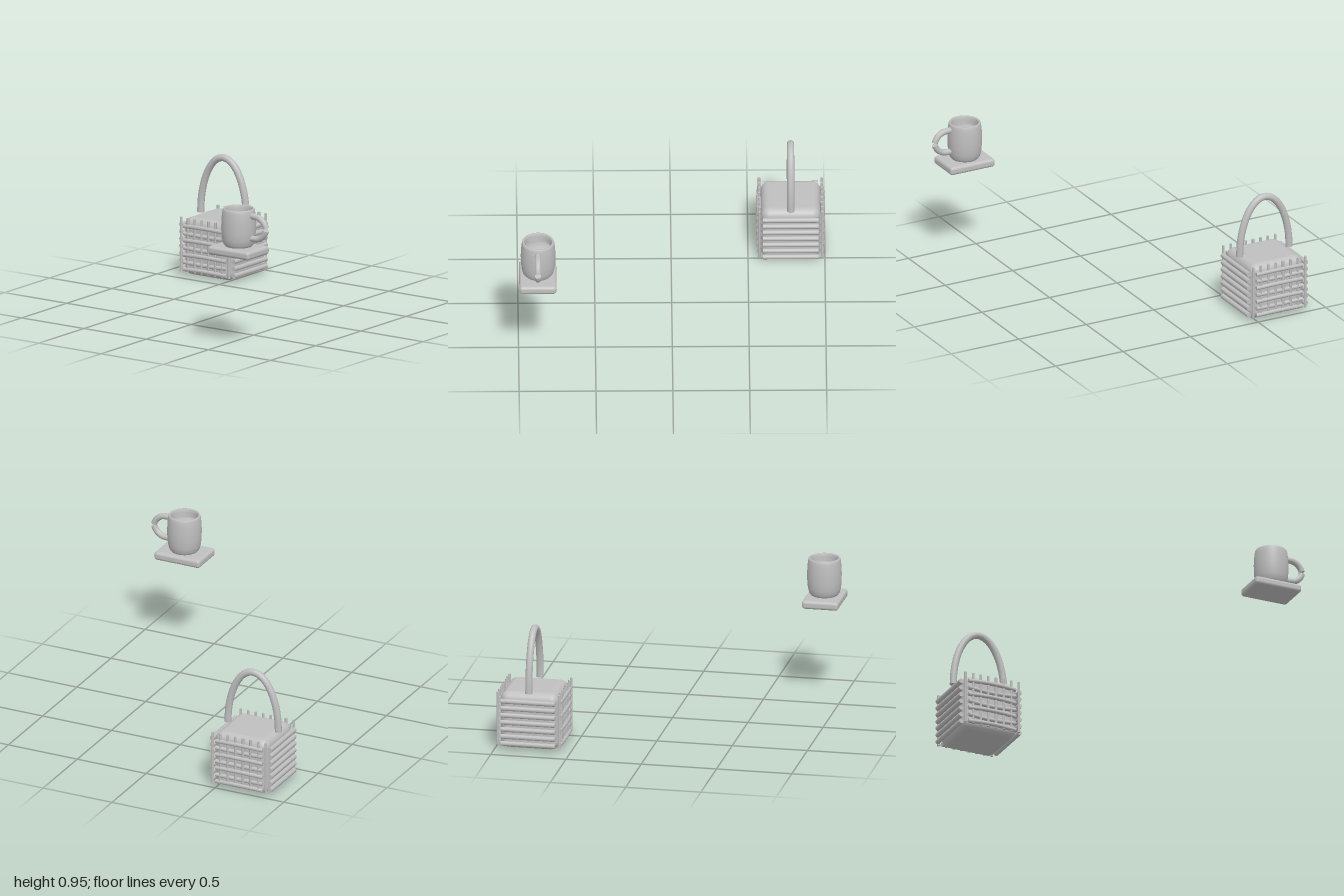
import * as THREE from 'three';
import { RoundedBoxGeometry } from 'three/addons/geometries/RoundedBoxGeometry.js';

const clay = new THREE.MeshStandardMaterial({ color: 0xbfbfbf });
clay.name = 'plain grey';

const V = (x, y, z) => new THREE.Vector3(x, y, z);

function add(parent, name, geometry, x = 0, y = 0, z = 0) {
  const mesh = new THREE.Mesh(geometry, clay);
  mesh.name = name;
  mesh.position.set(x, y, z);
  parent.add(mesh);
  return mesh;
}

// Tube along a curve, closed with a flat disc at each end
function addRod(parent, name, points, radius, segments, sides) {
  const rod = new THREE.Group();
  rod.name = name;
  const curve = new THREE.CatmullRomCurve3(points);
  add(rod, name + 'Tube', new THREE.TubeGeometry(curve, segments, radius, sides));
  for (const end of [0, 1]) {
    const p = curve.getPointAt(end);
    const direction = curve.getTangentAt(end).multiplyScalar(end ? 1 : -1);
    const cap = add(rod, name + 'Cap', new THREE.CircleGeometry(radius, sides), p.x, p.y, p.z);
    cap.quaternion.setFromUnitVectors(V(0, 0, 1), direction);
  }
  parent.add(rod);
}

function createBasket() {
  const basket = new THREE.Group();
  basket.name = 'basket';
  add(basket, 'basketBody', new RoundedBoxGeometry(0.386, 0.384, 0.386, 5, 0.055), 0, 0.193, 0);

  // Arched handle
  const arch = [];
  for (let i = 0; i <= 16; i++) {
    const a = Math.PI * i / 16;
    arch.push(V(-0.183 * Math.cos(a), 0.385 + 0.387 * Math.sin(a), 0));
  }
  addRod(basket, 'basketHandle', arch, 0.0235, 48, 14);

  // Woven panels on the front and back
  for (const side of [-1, 1]) {
    for (let i = 0; i < 8; i++) {
      const x = -0.192 + i * 0.0549;
      add(basket, 'uprightStake', new THREE.CylinderGeometry(0.009, 0.009, 0.36, 8), x, 0.208, side * 0.204);
    }
    for (let row = 0; row < 7; row++) {
      const y = 0.042 + row * 0.048;
      const bow = row % 2 ? -0.007 : 0.007;
      const points = [];
      for (let i = 0; i <= 6; i++) {
        const arc = Math.sin(Math.PI * i / 6);
        points.push(V(-0.17 + i * 0.34 / 6, y + bow * 0.8 * arc, side * (0.203 + bow * arc)));
      }
      addRod(basket, 'wovenStrand', points, 0.014, 18, 8);
    }
  }

  // Stacked strands along the two ends
  for (const side of [-1, 1]) {
    for (let row = 0; row < 7; row++) {
      const y = 0.042 + row * 0.048;
      const x = side * 0.21;
      addRod(basket, 'sideStrand', [V(x, y, -0.18), V(x, y, 0.18)], 0.0165, 2, 8);
    }
  }
  return basket;
}

function createCup() {
  const cup = new THREE.Group();
  cup.name = 'cupAndSaucer';
  add(cup, 'saucer', new RoundedBoxGeometry(0.33, 0.056, 0.242, 4, 0.02), 0, 0.665, 0);

  // Outer wall, rounded rim, inner wall and domed drink
  const profile = [
    [0, 0.69], [0.07, 0.69], [0.088, 0.696], [0.1, 0.712], [0.108, 0.745],
    [0.112, 0.79], [0.113, 0.84], [0.111, 0.89], [0.107, 0.925], [0.104, 0.941],
    [0.1, 0.947], [0.093, 0.947], [0.088, 0.941], [0.086, 0.92], [0.085, 0.895],
    [0.083, 0.89], [0.07, 0.9], [0.045, 0.909], [0, 0.914],
  ].map(([r, y]) => new THREE.Vector2(r, y));
  add(cup, 'cupBody', new THREE.LatheGeometry(profile, 48), 0, 0, -0.002);

  // Handle in two mirrored halves
  for (const s of [1, -1]) {
    const path = [[0.09, 0.074], [0.125, 0.075], [0.165, 0.069], [0.195, 0.05], [0.213, 0.026], [0.22, 0.007]];
    addRod(cup, s > 0 ? 'upperCupHandle' : 'lowerCupHandle',
      path.map(([x, y]) => V(x, 0.832 + s * y, 0)), 0.0205, 20, 12);
  }
  return cup;
}

export function createModel() {
  const model = new THREE.Group();
  model.name = 'basketAndCup';
  const basket = createBasket();
  basket.position.set(-0.667, 0, -0.778);
  const cup = createCup();
  cup.position.set(0.652, 0, 0.876);
  model.add(basket, cup);
  return model;
}
